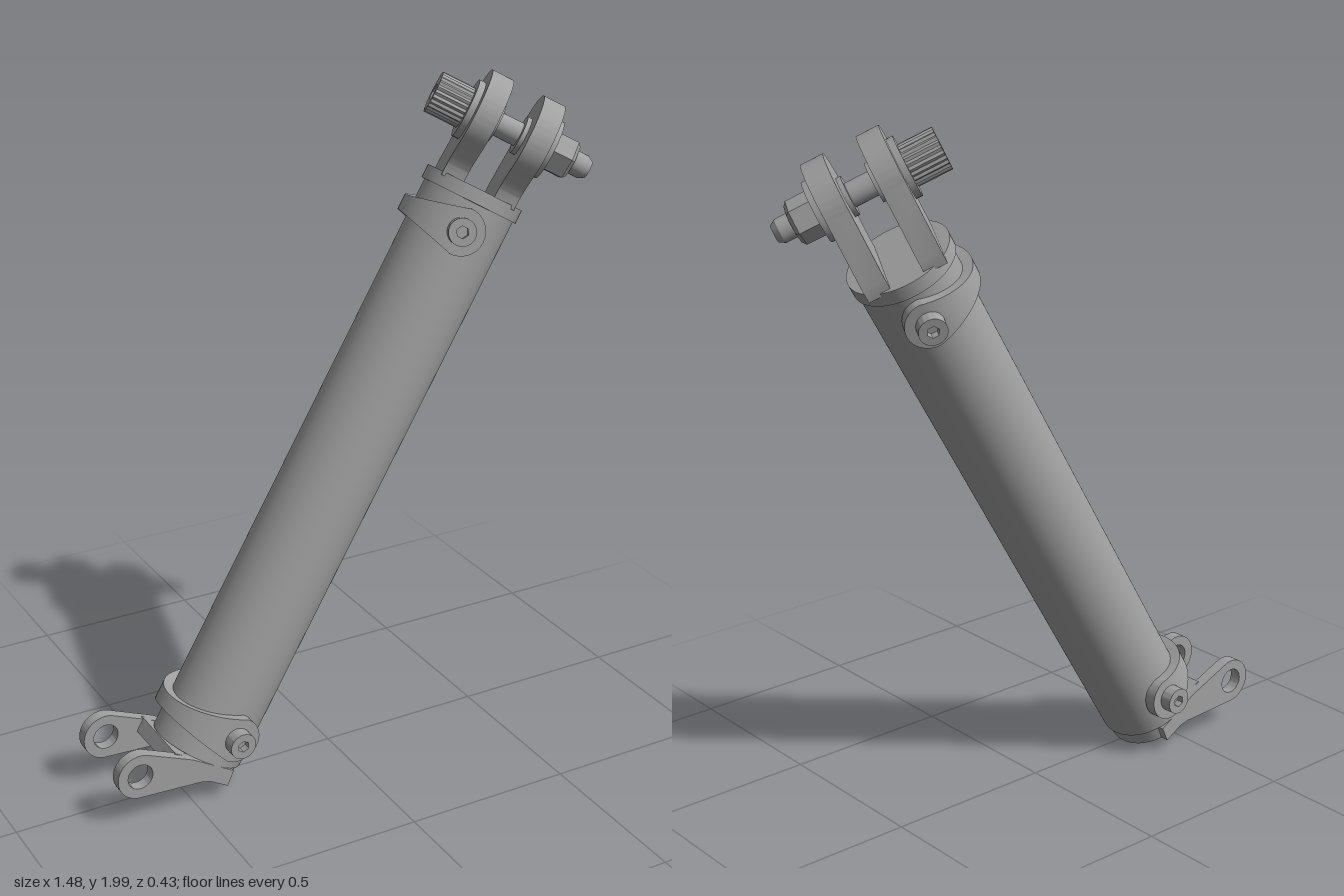
import * as THREE from 'three';
import { toCreasedNormals } from 'three/addons/utils/BufferGeometryUtils.js';

const steel = new THREE.MeshStandardMaterial({ color: 0xa0a0a0 });
steel.name = 'grey steel';

function add(parent, name, geometry) {
  const mesh = new THREE.Mesh(geometry, steel);
  mesh.name = name;
  parent.add(mesh);
  return mesh;
}

function extrude(shape, depth) {
  const g = new THREE.ExtrudeGeometry(shape, { depth, bevelEnabled: false, curveSegments: 32 });
  return toCreasedNormals(g, 0.5);
}

// Upright cylinder from y0 to y1
function column(r, y0, y1, sides = 64, rTop = r) {
  return new THREE.CylinderGeometry(rTop, r, y1 - y0, sides).translate(0, (y0 + y1) / 2, 0);
}

// Cylinder lying along x from x0 to x1
const rod = (r, x0, x1, sides = 32, rEnd = r) => column(r, x0, x1, sides, rEnd).rotateZ(-Math.PI / 2);

function polygonPath(target, n, radius) {
  for (let i = 0; i < n; i++) {
    const a = (i / n) * Math.PI * 2, r = radius(i);
    if (i) target.lineTo(r * Math.cos(a), r * Math.sin(a));
    else target.moveTo(r * Math.cos(a), r * Math.sin(a));
  }
  target.closePath();
  return target;
}

// Screw head along +z with a hexagonal socket, optionally knurled
function socketHead(name, r, h, knurled) {
  const head = new THREE.Group();
  head.name = name;
  const n = 48;
  const outline = polygonPath(new THREE.Shape(), n, i => (knurled && i % 2 ? r * 0.93 : r));
  outline.holes.push(polygonPath(new THREE.Path(), 6, () => r * 0.45));
  add(head, 'headRim', extrude(outline, h));
  add(head, 'socketFloor', new THREE.CylinderGeometry(r * 0.7, r * 0.7, h * 0.4, 24)
    .rotateX(Math.PI / 2).translate(0, 0, h * 0.2));
  return head;
}

// U-shaped saddle band around the -x side, widening to round tabs at +z and -z
function strapGeometry(rIn, rOut, tab, thin) {
  const sections = [];
  const n = 14, m = 40;
  const side = sign => {
    const list = [];
    for (let i = 0; i < n; i++) {
      const f = (i / n) * Math.PI / 2;
      const x = tab * Math.cos(f);
      list.push([x, sign * rIn, x, sign * rOut, tab * Math.sin(f)]);
    }
    return list;
  };
  sections.push(...side(1));
  for (let i = 0; i <= m; i++) {
    const a = (i / m) * Math.PI, s = Math.sin(a), c = Math.cos(a);
    sections.push([-rIn * s, rIn * c, -rOut * s, rOut * c, tab - (tab - thin) * s]);
  }
  sections.push(...side(-1).reverse());
  const pos = [], index = [];
  sections.forEach(([xi, zi, xo, zo, h], k) => {
    pos.push(xi, -h, zi, xo, -h, zo, xo, h, zo, xi, h, zi);
    if (k === sections.length - 1) return;
    for (let j = 0; j < 4; j++) {
      const a = k * 4 + j, b = k * 4 + (j + 1) % 4;
      index.push(a, b, b + 4, a, b + 4, a + 4);
    }
  });
  const g = new THREE.BufferGeometry();
  g.setAttribute('position', new THREE.Float32BufferAttribute(pos, 3));
  g.setIndex(index);
  return toCreasedNormals(g, 0.6);
}

// Saddle band with a screw on each tab
function clamp(name) {
  const group = new THREE.Group();
  group.name = name;
  add(group, 'strap', strapGeometry(0.132, 0.168, 0.068, 0.023));
  for (const s of [1, -1]) {
    const screw = socketHead('clampScrew', 0.039, 0.038);
    screw.position.z = s * 0.166;
    if (s < 0) screw.rotation.y = Math.PI;
    group.add(screw);
  }
  return group;
}

// Lower fork arm: round eye tapering out of the plug
function armGeometry() {
  const cx = -0.67, cy = 0.161;
  const shape = new THREE.Shape();
  shape.absarc(cx, cy, 0.068, 1.26, 4.64, false);
  for (const [x, y] of [[-0.485, 0.084], [-0.455, 0.077], [-0.40, 0.045], [-0.38, 0.09], [-0.43, 0.12], [-0.508, 0.166]]) shape.lineTo(x, y);
  shape.closePath();
  const hole = new THREE.Path();
  hole.absarc(cx, cy, 0.038, 0, Math.PI * 2, true);
  shape.holes.push(hole);
  return extrude(shape, 0.036);
}

// Upper fork lug: offset round eye on a sloping web
function lugGeometry(eyeZ, eyeY, thickness) {
  const shape = new THREE.Shape();
  shape.moveTo(-0.125, 1.78);
  shape.lineTo(0.105, 1.78);
  shape.lineTo(0.11, 1.815);
  shape.quadraticCurveTo(0.125, 1.85, eyeZ + 0.125 * Math.cos(-0.75), eyeY + 0.125 * Math.sin(-0.75));
  shape.absarc(eyeZ, eyeY, 0.125, -0.75, Math.PI - 0.2, false);
  shape.lineTo(-0.125, 1.82);
  shape.closePath();
  return extrude(shape, thickness).rotateY(-Math.PI / 2);
}

export function createModel() {
  const model = new THREE.Group();
  model.name = 'strut';

  // Leaning assembly: its y axis runs along the tube
  const strut = new THREE.Group();
  strut.name = 'leaningStrut';
  strut.position.set(-0.43, 0.12, -0.012);
  strut.rotation.z = -0.532;
  model.add(strut);
  add(strut, 'tube', column(0.138, 0, 1.752, 96));

  // Lower end: plug, web and two arms
  add(strut, 'lowerPlug', column(0.129, -0.05, 0.02));
  add(strut, 'lowerWeb', new THREE.BoxGeometry(0.13, 0.044, 0.23).translate(-0.073, -0.025, 0));
  for (const s of [1, -1]) {
    const arm = add(model, 'lowerArm', armGeometry());
    arm.position.z = -0.012 + s * 0.12 - 0.018;
  }
  const lowerClamp = clamp('lowerClamp');
  lowerClamp.position.y = 0.1;
  strut.add(lowerClamp);

  // Upper end, turned about the tube axis
  const upper = new THREE.Group();
  upper.name = 'upperEnd';
  upper.rotation.y = -Math.PI / 6;
  strut.add(upper);
  const upperClamp = clamp('upperClamp');
  upperClamp.position.y = 1.665;
  upper.add(upperClamp);
  add(upper, 'flange', column(0.147, 1.75, 1.79));

  // Fork lugs and the cross pin with washers, knurled head and nut
  const eyeZ = 0.073, eyeY = 1.972;
  for (const x of [0.112, -0.047]) add(upper, 'forkLug', lugGeometry(eyeZ, eyeY, 0.065)).position.x = x;
  const pin = new THREE.Group();
  pin.name = 'crossPin';
  pin.position.set(0, eyeY, eyeZ);
  upper.add(pin);
  add(pin, 'shank', rod(0.034, -0.15, 0.235));
  add(pin, 'shankTip', rod(0.034, 0.235, 0.252, 32, 0.024));
  for (const s of [1, -1]) {
    add(pin, 'outerWasher', rod(0.085, -0.01, 0.01, 48)).position.x = s * 0.121;
    add(pin, 'innerBush', rod(0.055, -0.008, 0.008, 48)).position.x = s * 0.042;
  }
  const head = socketHead('pinHead', 0.06, 0.1, true);
  head.position.x = -0.13;
  head.rotation.y = -Math.PI / 2;
  pin.add(head);
  const flat = g => toCreasedNormals(g, 0.3);
  add(pin, 'nut', flat(rod(0.062, 0.13, 0.19, 6)));
  add(pin, 'nutChamfer', flat(rod(0.062, 0.19, 0.2, 6, 0.05)));

  return model;
}
